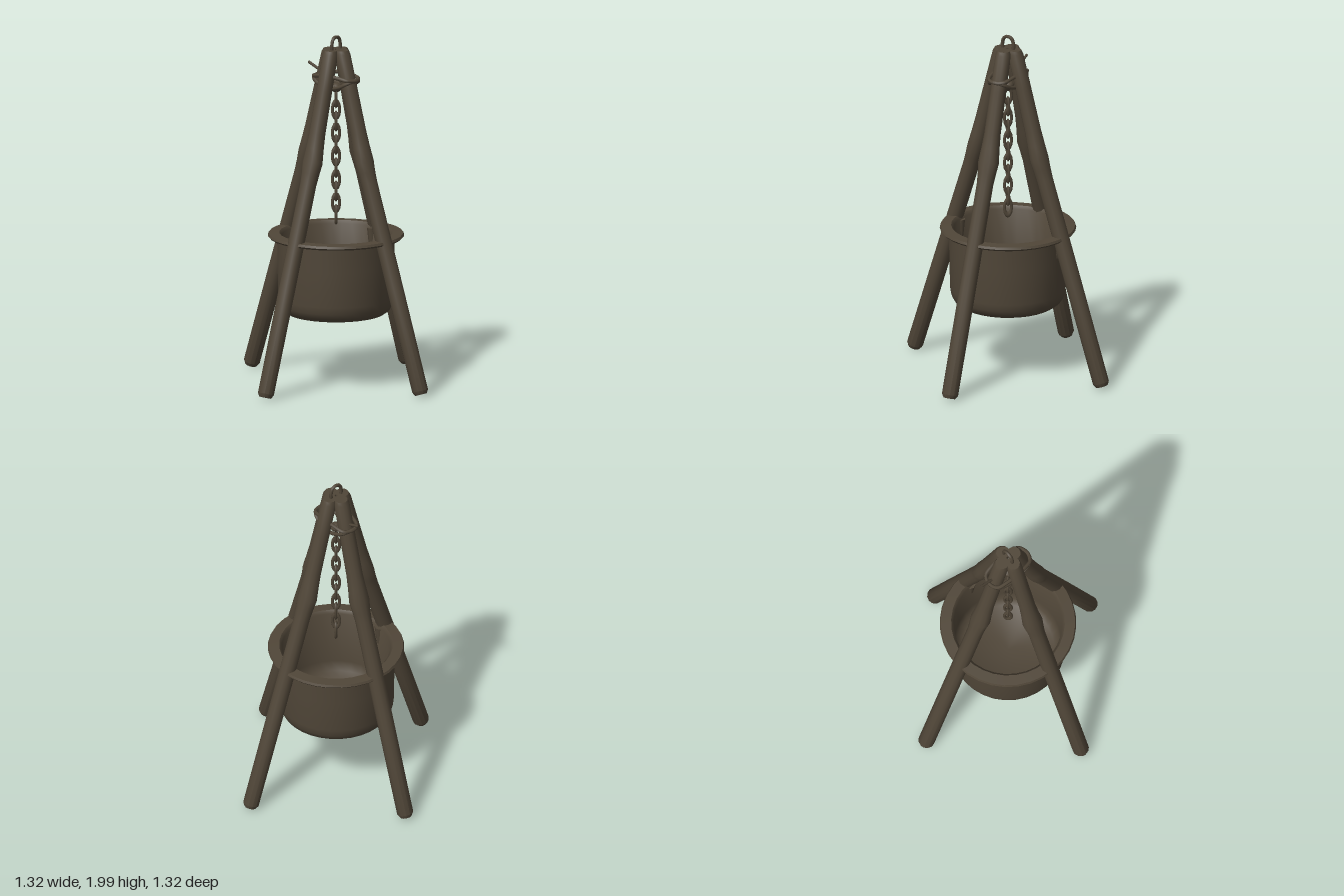
import * as THREE from 'three';
import { toCreasedNormals } from 'three/addons/utils/BufferGeometryUtils.js';

const V2 = (x, y) => new THREE.Vector2(x, y);
const V3 = (x, y, z) => new THREE.Vector3(x, y, z);

export function createModel() {
  const group = new THREE.Group();
  const brown = new THREE.MeshStandardMaterial({ color: 0x504638 });
  brown.name = 'dark weathered brown';

  const add = (name, geometry, parent = group) => {
    const mesh = new THREE.Mesh(geometry, brown);
    mesh.name = name;
    parent.add(mesh);
    return mesh;
  };
  const tube = (points, radius, closed = false, steps = 40) =>
    new THREE.TubeGeometry(new THREE.CatmullRomCurve3(points, closed), steps, radius, 6, closed);

  // Pole: a lathed stick, bent outward at a knot and cut square to its foot
  const lowY = 0.02, kneeY = 1.28, topY = 1.92;
  const centre = (y) => y < kneeY
    ? THREE.MathUtils.mapLinear(y, lowY, kneeY, 0.622, 0.212)
    : THREE.MathUtils.mapLinear(y, kneeY, topY, 0.212, 0.044);
  const poleProfile = [
    [0, 0.02], [0.034, 0.02], [0.046, 0.04], [0.047, 0.6], [0.046, 1.18], [0.046, 1.24],
    [0.046, 1.3], [0.046, 1.38], [0.046, 1.46], [0.045, 1.7], [0.044, 1.9], [0.038, 1.92], [0, 1.92],
  ].map(([r, y]) => V2(r, y));
  const pole = new THREE.LatheGeometry(poleProfile, 12);
  const p = pole.attributes.position;
  for (let i = 0; i < p.count; i++) {
    const x = p.getX(i), y = p.getY(i), z = p.getZ(i);
    const tilt = 0.31 * (1 - THREE.MathUtils.smoothstep(y, 1.2, 1.88));
    const bulge = Math.exp(-Math.pow((y - 1.31) / 0.075, 2));
    p.setXYZ(i,
      centre(y) + x * Math.cos(tilt) * (1 + 0.12 * bulge),
      y + x * Math.sin(tilt),
      z * (1 + 0.33 * bulge));
  }
  const poleGeometry = toCreasedNormals(pole, 0.7);
  ['leftPole', 'backPole', 'rightPole', 'frontPole'].forEach((name, i) => {
    add(name, poleGeometry).rotation.y = i * Math.PI / 2;
  });

  // Cooking pot: outer wall, flared lip and hollow inside in one profile
  const potProfile = [
    [0, 0.4], [0.24, 0.4], [0.275, 0.408], [0.303, 0.428], [0.32, 0.46], [0.326, 0.5],
    [0.33, 0.7], [0.332, 0.835], [0.375, 0.842], [0.384, 0.852], [0.378, 0.865], [0.32, 0.868],
    [0.305, 0.85], [0.302, 0.52], [0.29, 0.46], [0.26, 0.435], [0, 0.43],
  ].map(([r, y]) => V2(r, y));
  add('pot', toCreasedNormals(new THREE.LatheGeometry(potProfile, 32), 0.75));

  // Small lugs under the lip beside two poles
  for (const s of [-1, 1]) {
    const lug = add(s > 0 ? 'leftLug' : 'rightLug', new THREE.CylinderGeometry(0.03, 0.018, 0.11, 8));
    lug.position.set(s * 0.318, 0.785, 0);
  }

  // Hanging chain: alternating oval links under a small ring
  const chain = new THREE.Group();
  chain.name = 'chain';
  group.add(chain);
  const link = new THREE.TorusGeometry(0.021, 0.0085, 6, 12);
  link.scale(1, 2.1, 1);
  for (let i = 0; i < 11; i++) {
    const mesh = add('chainLink', link, chain);
    mesh.position.y = 1.64 - i * 0.067;
    mesh.rotation.y = Math.PI / 4 + (i % 2) * Math.PI / 2;
  }
  const knot = add('chainKnot', new THREE.SphereGeometry(0.034, 10, 8), chain);
  knot.position.y = 1.7;
  knot.scale.y = 0.8;

  // Lashing: two sagging rope loops around the pole tops, with a loose tail
  const loop = (name, endY, sideY, w) => {
    const points = [];
    for (let i = 0; i < 12; i++) {
      const a = i / 12 * Math.PI * 2, c = Math.cos(a), s = Math.sin(a);
      const y = THREE.MathUtils.lerp(sideY, endY, c * c);
      points.push(V3(w * Math.sign(s) * Math.sqrt(Math.abs(s)), y, 0.142 * c));
    }
    add(name, tube(points, 0.011, true, 60));
  };
  loop('upperRope', 1.755, 1.775, 0.07);
  loop('lowerRope', 1.758, 1.705, 0.066);
  add('ropeTail', tube([V3(0, 1.76, -0.08), V3(0, 1.79, -0.13), V3(0, 1.805, -0.165), V3(0, 1.82, -0.2)], 0.008, false, 12));

  // Hook loop on top
  add('topLoop', tube([
    V3(-0.034, 1.9, 0), V3(-0.036, 1.95, 0), V3(-0.024, 1.981, 0), V3(0, 1.99, 0),
    V3(0.024, 1.981, 0), V3(0.036, 1.95, 0), V3(0.034, 1.9, 0),
  ], 0.01, false, 24));

  return group;
}
